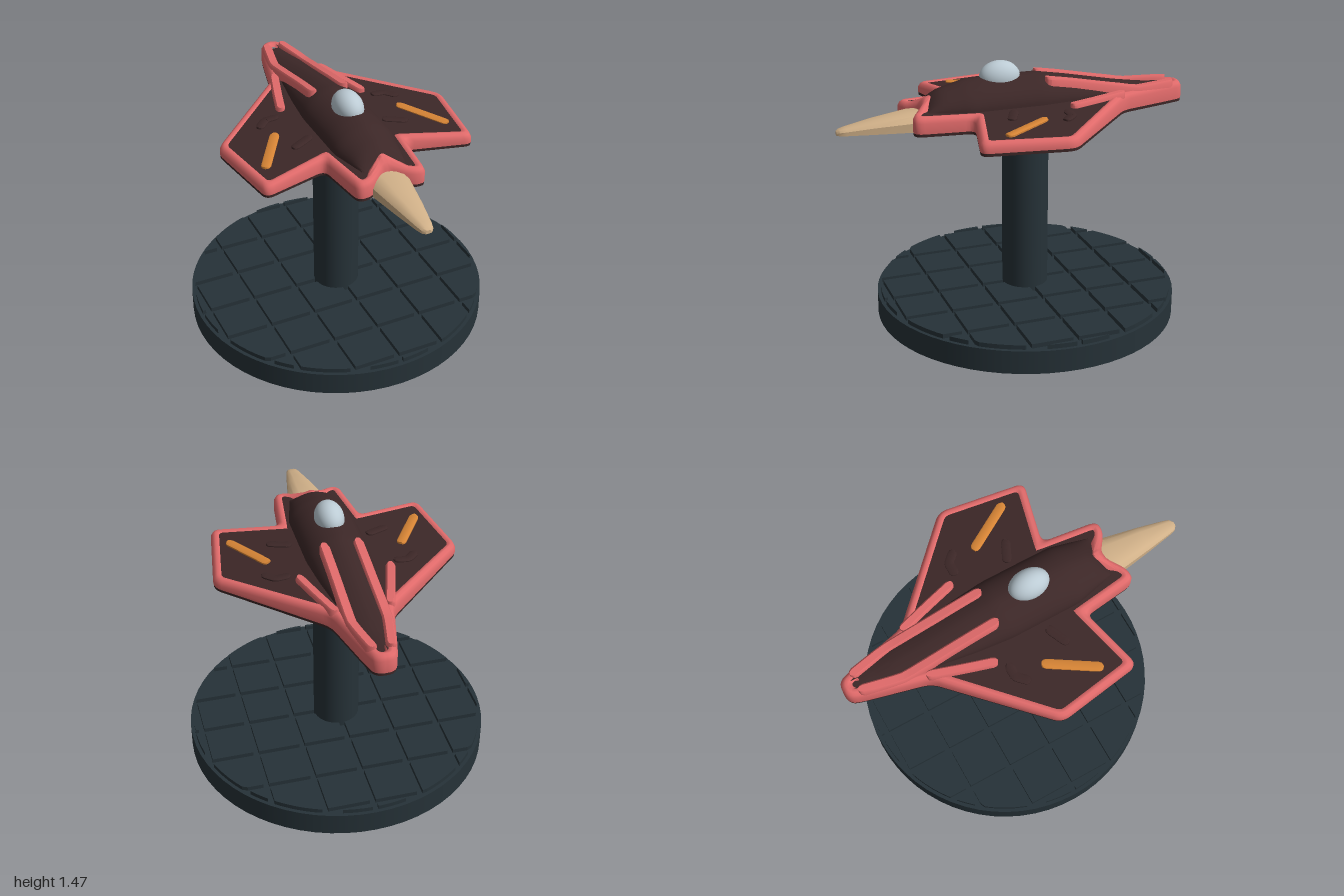
import * as THREE from 'three';
import { toCreasedNormals } from 'three/addons/utils/BufferGeometryUtils.js';

const paint = (name, color) => Object.assign(new THREE.MeshStandardMaterial({ color }), { name });

// piecewise-linear lookup in [[key, value], ...] with rising keys
function lerpTable(table, k) {
  if (k <= table[0][0]) return table[0][1];
  for (let i = 1; i < table.length; i++) {
    const [a, va] = table[i - 1], [b, vb] = table[i];
    if (k <= b) return va + (vb - va) * (k - a) / (b - a);
  }
  return table[table.length - 1][1];
}

// skin over rows of [x, y, z] cross-section points
function loft(rows, closed = false, crease = 0.7) {
  const n = rows[0].length, index = [];
  for (let i = 0; i < rows.length - 1; i++) {
    for (let j = 0; j < (closed ? n : n - 1); j++) {
      const k = (j + 1) % n, a = i * n + j, d = i * n + k;
      index.push(a, a + n, d + n, a, d + n, d);
    }
  }
  const geo = new THREE.BufferGeometry();
  geo.setAttribute('position', new THREE.Float32BufferAttribute(rows.flat(2), 3));
  geo.setIndex(index);
  return toCreasedNormals(geo, crease);
}

// hull plan: corners as [x, z], from tail to front, then mirrored
const half = [[0.055, -1], [0.085, -0.9], [0.165, -0.58], [0.675, -0.09], [0.6, 0.4],
  [0.235, 0.305], [0.195, 0.62], [0.12, 0.62]];
const outline = [...half, [0, 0.53], ...half.map(([x, z]) => [-x, z]).reverse()];

// outline corners moved inwards by a mitred inset
function insetCorners(inset) {
  const n = outline.length;
  const inward = (p, q) => {
    const l = Math.hypot(q[0] - p[0], q[1] - p[1]);
    return [-(q[1] - p[1]) / l, (q[0] - p[0]) / l];
  };
  return outline.map((p, i) => {
    const a = inward(outline[(i + n - 1) % n], p), b = inward(p, outline[(i + 1) % n]);
    const s = inset / (1 + a[0] * b[0] + a[1] * b[1]);
    const x = p[0] + (a[0] + b[0]) * s;
    return [Math.sign(p[0]) * Math.max(0.004, Math.abs(x)), p[1] + (a[1] + b[1]) * s];
  });
}

// the same ring with rounded corners
function ring(inset) {
  const c = insetCorners(inset), n = c.length, out = [];
  c.forEach((p, i) => {
    const P = new THREE.Vector2(...p);
    const ends = [c[(i + n - 1) % n], c[(i + 1) % n]].map((q) => {
      const d = new THREE.Vector2(...q).sub(P), l = d.length();
      return d.setLength(Math.min(0.05 - inset * 0.5, l * 0.45)).add(P);
    });
    new THREE.QuadraticBezierCurve(ends[0], P, ends[1]).getPoints(5).forEach((v) => out.push([v.x, v.y]));
  });
  return out;
}

// heights of the wing and of the raised fuselage
const wingY = (x) => 1.26 - 0.075 * Math.abs(x);
const humpHeight = [[-0.9, 0], [-0.8, 0.005], [-0.61, 0.035], [-0.29, 0.1], [-0.12, 0.13], [0.2, 0.13],
  [0.3, 0.118], [0.44, 0.08], [0.49, 0.045], [0.53, -0.01]];
const humpWidth = [[-0.9, 0.03], [-0.6, 0.11], [-0.3, 0.155], [-0.1, 0.175], [0.3, 0.175], [0.53, 0.12]];
function surfaceY(x, z) {
  const s = Math.min(1, Math.abs(x) / lerpTable(humpWidth, z));
  return wingY(x) + lerpTable(humpHeight, z) * Math.pow(1 - s * s, 0.55);
}

// rounded bar lying on the surface along [x, z] points
function bar(points, w, lift, drop) {
  const path = new THREE.CatmullRomCurve3(points.map(([x, z]) => new THREE.Vector3(x, 0, z)), false, 'catmullrom', 0.2);
  const len = path.getLength(), rows = [];
  const stops = [0, 0.1, 0.4, 1].map((t) => t * w / len);
  const ts = [...stops];
  for (let i = 1; i < 14; i++) ts.push(stops[3] + (1 - 2 * stops[3]) * i / 14);
  ts.push(...stops.map((t) => 1 - t).reverse());
  for (const t of ts) {
    const p = path.getPointAt(t), d = path.getTangentAt(t), y = surfaceY(p.x, p.z);
    const e = 1 - Math.min(1, Math.min(t, 1 - t) * len / w);
    const r = w * Math.sqrt(Math.max(0, 1 - e * e));
    rows.push([[-1, -drop], [-1, lift * 0.55], [-0.65, lift], [0.65, lift], [1, lift * 0.55], [1, -drop]]
      .map(([s, h]) => [p.x + d.z * r * s, y + h, p.z - d.x * r * s]));
  }
  return loft(rows, false, 0.8);
}

export function createModel() {
  const mat = {
    stand: paint('slate', 0x263238), hull: paint('darkMaroon', 0x3c2727), trim: paint('coral', 0xe06a6a),
    orange: paint('orange', 0xd68435), tan: paint('tan', 0xd0b088), glass: paint('paleGlass', 0xbccbd4),
  };
  const model = new THREE.Group();
  const add = (name, geo, material, parent = model) => {
    const mesh = new THREE.Mesh(geo, material);
    mesh.name = name;
    parent.add(mesh);
    return mesh;
  };

  // stand: disc, column and paving tiles clipped to a circle
  const stand = new THREE.Group();
  stand.name = 'stand';
  stand.position.z = -0.06;
  model.add(stand);
  add('baseDisc', new THREE.CylinderGeometry(0.85, 0.85, 0.132, 64).translate(0, 0.066, 0), mat.stand, stand);
  add('column', new THREE.CylinderGeometry(0.13, 0.13, 1.05, 40).translate(0, 0.63, 0), mat.stand, stand);
  const R = 0.83, cell = 0.265, gap = 0.016;
  for (let i = -4; i < 4; i++) {
    for (let j = -4; j < 4; j++) {
      const z0 = j * cell + gap, z1 = (j + 1) * cell - gap;
      const near = Math.min(Math.abs(z0), Math.abs(z1));
      if (near >= R) continue;
      const lim = Math.sqrt(R * R - near * near);
      const x0 = Math.max(i * cell + gap, -lim), x1 = Math.min((i + 1) * cell - gap, lim);
      if (x1 - x0 < 0.01) continue;
      const upper = [], lower = [];
      for (let k = 0; k <= 8; k++) {
        const x = x0 + (x1 - x0) * k / 8, h = Math.sqrt(Math.max(0, R * R - x * x));
        upper.push(new THREE.Vector2(x, Math.min(z1, h)));
        lower.unshift(new THREE.Vector2(x, Math.max(z0, -h)));
      }
      const tile = new THREE.ExtrudeGeometry(new THREE.Shape([...upper, ...lower]), { depth: 0.03, bevelEnabled: false });
      add('baseTile', tile.rotateX(-Math.PI / 2).translate(0, 0.127, 0), mat.stand, stand);
    }
  }

  // hull: flat underside plate
  const plan = (pts) => new THREE.Shape(pts.map(([x, z]) => new THREE.Vector2(x, -z)));
  const plate = new THREE.ExtrudeGeometry(plan(ring(0.002)), { depth: 0.018, bevelEnabled: false });
  add('underside', plate.rotateX(-Math.PI / 2).translate(0, 1.15, 0), mat.hull);

  // rounded rim around the hull, rising at the front notch
  const rimProfile = [[0, null], [0, -0.03], [0.01, -0.01], [0.025, 0], [0.042, -0.003], [0.058, -0.022]];
  add('rim', loft(rimProfile.map(([inset, dy]) => ring(inset).map(([x, z]) => {
    const rise = 0.05 * Math.exp(-((x / 0.06) ** 2) - ((z - 0.48) / 0.07) ** 2);
    return [x, dy === null ? 1.166 : wingY(x) + 0.008 + dy + rise, z];
  })), true, 0.9), mat.trim);

  // fuselage hump
  const rows = [];
  for (let i = 0; i <= 44; i++) {
    const z = -0.9 + 1.43 * i / 44, w = lerpTable(humpWidth, z), row = [];
    for (let j = 0; j <= 24; j++) {
      const x = -w * Math.cos(Math.PI * j / 24);
      row.push([x, surfaceY(x, z) - (j % 24 ? 0 : 0.01), z]);
    }
    rows.push(row);
  }
  add('fuselage', loft(rows, false, 1), mat.hull);

  // canopy and front spike
  const canopy = add('canopy', new THREE.SphereGeometry(1, 32, 20), mat.glass);
  canopy.scale.set(0.08, 0.09, 0.115);
  canopy.position.set(0, 1.38, 0.09);
  const spike = [[0.42, 0.125, 1.235], [0.6, 0.105, 1.24], [0.8, 0.071, 1.215], [0.95, 0.042, 1.188], [0.985, 0.032, 1.18], [1, 0.015, 1.17]];
  const section = [[-1, 0], [-1, 0.55], [-0.75, 0.88], [-0.4, 1], [0.4, 1], [0.75, 0.88], [1, 0.55], [1, 0]];
  const spikeRows = spike.map(([z, w, top]) => section.map(([s, h]) => [s * w, 1.15 + h * (top - 1.15), z]));
  spikeRows.push(section.map(() => [0, 1.158, 1]));
  add('frontSpike', loft(spikeRows, true, 0.6), mat.tan);

  // paired parts
  for (const s of [1, -1]) {
    const side = s > 0 ? 'left' : 'right';
    const m = (pts) => pts.map(([x, z]) => [x * s, z]);
    const corners = insetCorners(0.045).slice(0, half.length + 1);
    const skin = new THREE.ShapeGeometry(plan(m(corners))).rotateX(-Math.PI / 2);
    const pos = skin.attributes.position;
    for (let i = 0; i < pos.count; i++) pos.setY(i, wingY(pos.getX(i)));
    skin.computeVertexNormals();
    add(side + 'WingSkin', skin, mat.hull);
    add(side + 'SpineBar', bar(m([[0.092, -0.14], [0.092, -0.4], [0.092, -0.7], [0.045, -0.93]]), 0.028, 0.026, 0.05), mat.trim);
    add(side + 'WingBar', bar(m([[0.25, -0.23], [0.2, -0.4], [0.14, -0.59]]), 0.026, 0.025, 0.03), mat.trim);
    add(side + 'OrangeStripe', bar(m([[0.365, -0.04], [0.535, 0.235]]), 0.026, 0.012, 0.006), mat.orange);
    add(side + 'WingRidge', bar(m([[0.28, -0.19], [0.36, -0.19], [0.42, -0.13]]), 0.025, 0.01, 0.01), mat.hull);
    add(side + 'RearRidge', bar(m([[0.21, 0.08], [0.34, 0.14]]), 0.025, 0.01, 0.01), mat.hull);
  }
  return model;
}
